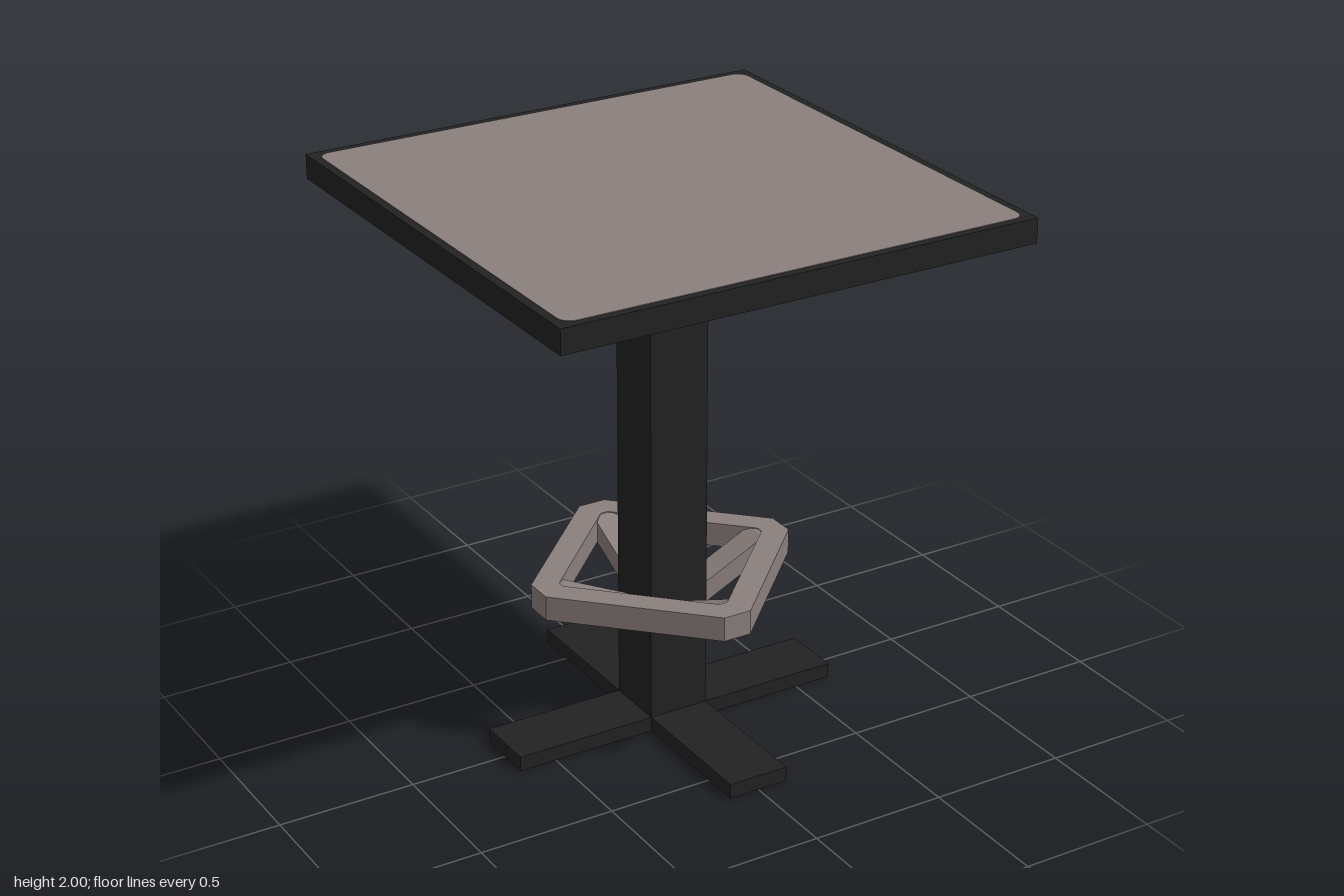
import * as THREE from 'three';

const dark = new THREE.MeshStandardMaterial({ name: 'blackMetal', color: 0x222222 });
const taupe = new THREE.MeshStandardMaterial({ name: 'taupe', color: 0x8a7f7c });

const polygon = (pts, Type = THREE.Shape) => new Type(pts.map(([x, y]) => new THREE.Vector2(x, y)));

// Extrudes a plan outline upward from y to y + height
function slab(shape, y, height) {
  return new THREE.ExtrudeGeometry(shape, { depth: height, bevelEnabled: false, curveSegments: 6 })
    .rotateX(-Math.PI / 2).translate(0, y, 0);
}

// Diamond outline with its four points cut off flat
function cutDiamond(reach, half) {
  return [[reach, -half], [reach, half], [half, reach], [-half, reach],
    [-reach, half], [-reach, -half], [-half, -reach], [half, -reach]];
}

function roundedSquare(h, r) {
  const s = new THREE.Shape();
  s.absarc(h - r, h - r, r, 0, Math.PI / 2);
  s.absarc(r - h, h - r, r, Math.PI / 2, Math.PI);
  s.absarc(r - h, r - h, r, Math.PI, Math.PI * 1.5);
  s.absarc(h - r, r - h, r, Math.PI * 1.5, Math.PI * 2);
  return s;
}

export function createModel() {
  const group = new THREE.Group();
  function add(name, geometry, material) {
    const mesh = new THREE.Mesh(geometry, material);
    mesh.name = name;
    group.add(mesh);
    return mesh;
  }

  // Cross-shaped foot
  const w = 0.113, L = 0.64;
  const cross = polygon([[L, -w], [L, w], [w, w], [w, L], [-w, L], [-w, w],
    [-L, w], [-L, -w], [-w, -w], [-w, -L], [w, -L], [w, -w]]);
  add('crossFoot', slab(cross, 0, 0.055), dark);

  // Square column
  add('column', new THREE.BoxGeometry(2 * w, 1.87, 2 * w).translate(0, 0.985, 0), dark);

  // Table top with inlaid panels above and below
  add('tableTop', new THREE.BoxGeometry(1.765, 0.088, 1.765).translate(0, 1.954, 0), dark);
  const panel = roundedSquare(0.853, 0.045);
  add('topPanel', slab(panel, 1.996, 0.004), taupe);
  add('undersidePanel', slab(panel, 1.908, 0.004), taupe);

  // Footrest ring
  const ring = polygon(cutDiamond(0.495, 0.052));
  ring.holes.push(polygon(cutDiamond(0.405, 0.014).reverse(), THREE.Path));
  add('footrestRing', slab(ring, 0.525, 0.09), taupe);

  // Four sloping struts from the column to the ring corners
  const profile = polygon([[0.1, 0.393], [0.43, 0.551], [0.43, 0.612], [0.39, 0.612], [0.1, 0.473]]);
  const strut = new THREE.ExtrudeGeometry(profile, { depth: 0.1, bevelEnabled: false }).translate(0, 0, -0.05);
  for (let i = 0; i < 4; i++) {
    add('footrestStrut' + (i + 1), strut, taupe).rotation.y = i * Math.PI / 2;
  }
  return group;
}
